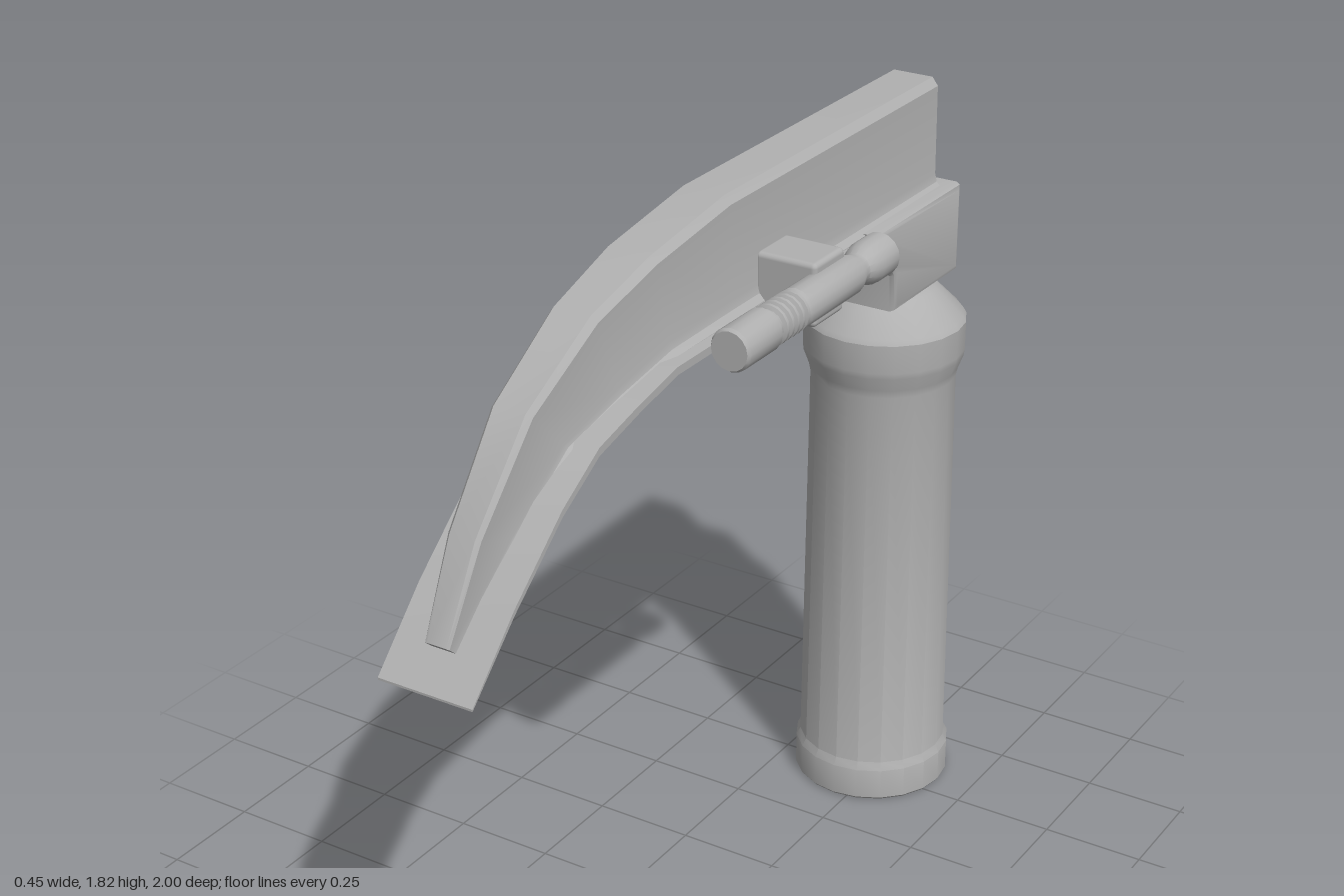
import * as THREE from 'three';
import { toCreasedNormals } from 'three/addons/utils/BufferGeometryUtils.js';
import { RoundedBoxGeometry } from 'three/addons/geometries/RoundedBoxGeometry.js';

const CX = -0.033; // centre line of handle and blade

// Skin a closed solid over mirror-symmetric rings, ordered counter-clockwise seen from +z
function loft(rings, crease) {
  const n = rings[0].length, pos = rings.flat(2), idx = [];
  for (let i = 0; i < rings.length - 1; i++) {
    for (let j = 0; j < n; j++) {
      const k = (j + 1) % n, a = i * n + j, b = i * n + k;
      idx.push(a, b, b + n, a, b + n, a + n);
    }
  }
  const last = (rings.length - 1) * n;
  for (let j = 0; j < n / 2 - 1; j++) {
    const a = j, b = j + 1, c = n - 2 - j, d = n - 1 - j;
    idx.push(a, c, b, a, d, c);
    idx.push(last + a, last + b, last + c, last + a, last + c, last + d);
  }
  const g = new THREE.BufferGeometry();
  g.setAttribute('position', new THREE.Float32BufferAttribute(pos, 3));
  g.setIndex(idx);
  return toCreasedNormals(g, crease);
}

function lathe(points, segments) {
  const g = new THREE.LatheGeometry(points.map(([r, y]) => new THREE.Vector2(r, y)), segments);
  return toCreasedNormals(g, 0.5);
}

export function createModel() {
  const group = new THREE.Group();
  const steel = new THREE.MeshStandardMaterial({ color: 0xb0b0b0 });
  steel.name = 'steel grey';

  const add = (name, geometry, x = 0, y = 0, z = 0) => {
    const mesh = new THREE.Mesh(geometry, steel);
    mesh.name = name;
    mesh.position.set(x, y, z);
    group.add(mesh);
    return mesh;
  };

  // Round handle with a foot ring and a tapered collar
  add('handle', lathe([
    [0, 0], [0.19, 0], [0.195, 0.006], [0.195, 0.085], [0.185, 0.105],
    [0.176, 1.11], [0.18, 1.13], [0.193, 1.165], [0.195, 1.18], [0.195, 1.25],
    [0.188, 1.262], [0.12, 1.33], [0.09, 1.345], [0, 1.345],
  ], 20), CX, 0, -0.805);

  // Stepped block that hooks the blade on the handle
  const bevel = 0.014;
  const outline = [
    [-0.95, 1.34], [-0.635, 1.34], [-0.63, 1.43], [-0.62, 1.442], [-0.575, 1.445],
    [-0.567, 1.455], [-0.567, 1.52], [-0.54, 1.557], [-0.95, 1.557],
  ];
  const shape = new THREE.Shape(outline.map(([z, y]) => new THREE.Vector2(z, y)));
  const blockGeo = new THREE.ExtrudeGeometry(shape, {
    depth: 0.232 - 2 * bevel, bevelSize: bevel, bevelOffset: -bevel,
    bevelThickness: bevel, bevelSegments: 2,
  });
  blockGeo.translate(0, 0, -(0.232 / 2 - bevel));
  blockGeo.rotateY(-Math.PI / 2);
  add('hookBlock', toCreasedNormals(blockGeo, 0.6), CX);

  // Upright web of the blade: [top z, top y, bottom z, bottom y, half width]
  const stations = [
    [-0.905, 1.815, -0.905, 1.538, 0.067],
    [0.0, 1.815, 0.0, 1.538, 0.067],
    [0.28, 1.775, 0.23, 1.538, 0.066],
    [0.48, 1.718, 0.4, 1.505, 0.058],
    [0.695, 1.592, 0.57, 1.467, 0.05],
    [0.86, 1.392, 0.74, 1.345, 0.04],
    [0.955, 1.2, 0.93, 1.178, 0.03],
  ];
  const web = stations.map(([tz, ty, bz, by, w]) => {
    const flare = w * 0.3, bev = w * 0.22;
    const half = [
      [w + flare, 0], [w + flare * 0.9, 0.05], [w + flare * 0.25, 0.1],
      [w, 0.17], [w * 0.97, 0.93], [w * 0.97 - bev, 1],
    ];
    const ring = [...half, ...half.map(([x, t]) => [-x, t]).reverse()];
    return ring.map(([x, t]) => [CX + x, by + (ty - by) * t, bz + (tz - bz) * t]);
  });
  add('bladeWeb', loft(web, 0.45));

  // Thin curved tongue plate: [z, underside y, thickness]
  const tongue = [
    [-0.6, 1.532, 0.018], [0.28, 1.532, 0.018], [0.42, 1.503, 0.018],
    [0.56, 1.468, 0.018], [0.69, 1.39, 0.016], [0.856, 1.252, 0.013], [1.0, 1.113, 0.005],
  ].map(([z, y, t]) => [[0.113, 0], [0.113, t], [-0.113, t], [-0.113, 0]]
    .map(([x, h]) => [CX + x, y + h, z]));
  add('bladeTongue', loft(tongue, 0.5));

  // Clamp that carries the lamp, with a lip under the tongue
  add('lampClamp', new RoundedBoxGeometry(0.15, 0.145, 0.125, 2, 0.012), 0.1, 1.585, -0.168);
  add('clampLip', new RoundedBoxGeometry(0.13, 0.03, 0.125, 2, 0.008), 0.06, 1.523, -0.168);

  // Lamp tube along the blade, with threaded grooves near the front
  const threads = [];
  for (let i = 0; i < 5; i++) {
    const z = -0.005 + i * 0.021;
    threads.push([0.046, z], [0.046, z + 0.008], [0.038, z + 0.012], [0.038, z + 0.018]);
  }
  const lamp = add('lampTube', lathe([
    [0, -0.387], [0.044, -0.387], [0.049, -0.38], [0.049, -0.315], [0.044, -0.295],
    [0.036, -0.275], [0.036, -0.262], [0.045, -0.235], [0.045, -0.02], [0.04, -0.012],
    ...threads, [0.04, 0.103], [0.048, 0.11], [0.048, 0.232], [0.043, 0.24], [0, 0.24],
  ], 16), 0.177, 1.592, 0);
  lamp.rotation.x = Math.PI / 2;

  return group;
}
